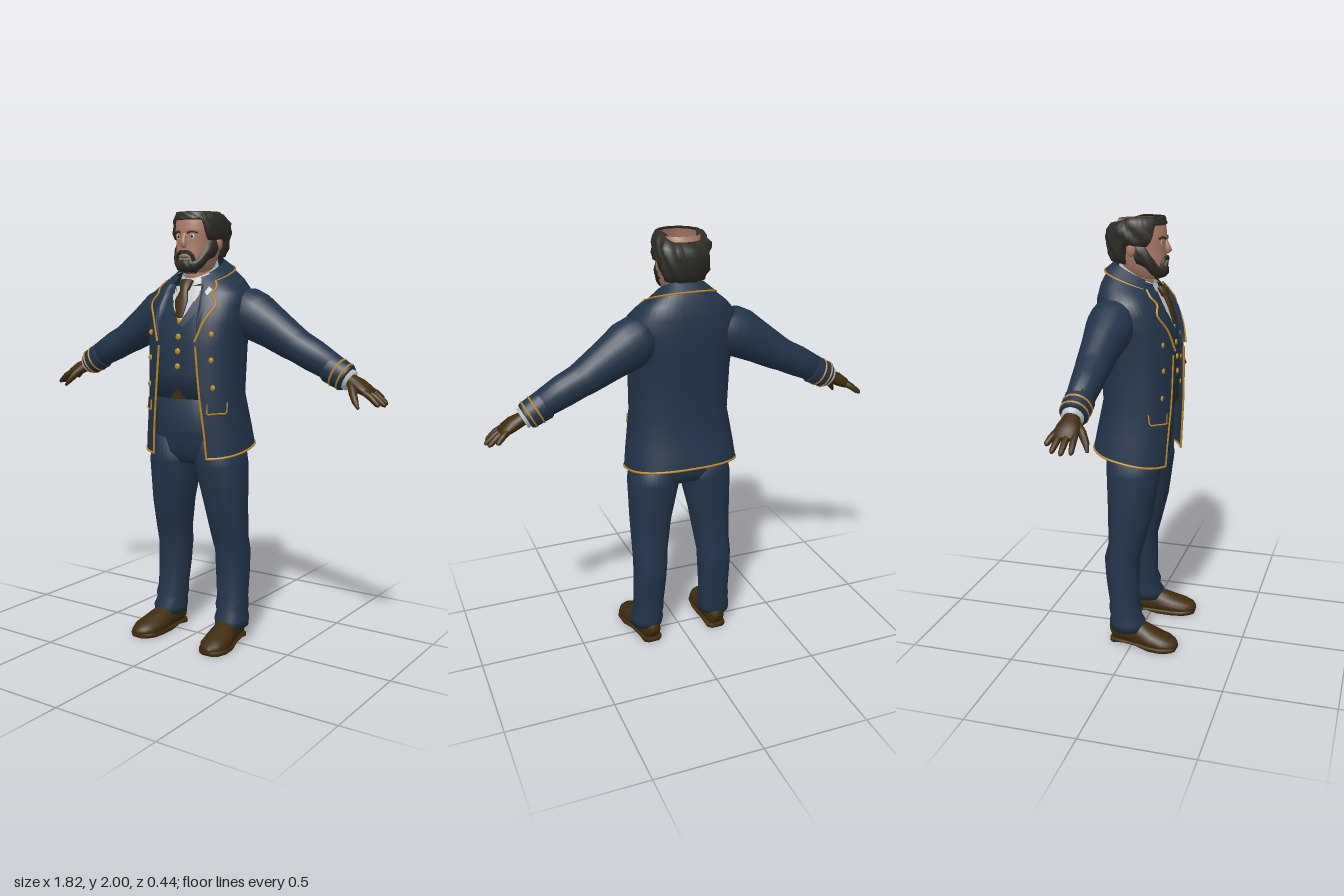
import * as THREE from 'three';
import { mergeGeometries } from 'three/addons/utils/BufferGeometryUtils.js';

const V = (x, y, z) => new THREE.Vector3(x, y, z);
const paint = (name, color) => Object.assign(new THREE.MeshStandardMaterial({ color, side: THREE.DoubleSide }), { name });
const { lerp, smoothstep } = THREE.MathUtils;

// Skin over a list of rings, each a list of points
function loft(rings, { closed = true, caps = false } = {}) {
  const n = rings[0].length, pos = [], idx = [];
  rings.forEach(r => r.forEach(p => pos.push(p.x, p.y, p.z)));
  for (let r = 0; r < rings.length - 1; r++) for (let i = 0; i < (closed ? n : n - 1); i++) {
    const j = (i + 1) % n, a = r * n + i, b = r * n + j, c = a + n, d = b + n;
    idx.push(a, b, c, b, d, c);
  }
  if (caps) [0, rings.length - 1].forEach(r => {
    const m = rings[r].reduce((s, p) => s.add(p), V(0, 0, 0)).divideScalar(n), k = pos.length / 3;
    pos.push(m.x, m.y, m.z);
    for (let i = 0; i < n; i++) {
      const a = r * n + i, b = r * n + (i + 1) % n;
      idx.push(...(r ? [a, b, k] : [b, a, k]));
    }
  });
  const g = new THREE.BufferGeometry();
  g.setAttribute('position', new THREE.Float32BufferAttribute(pos, 3));
  g.setIndex(idx);
  g.computeVertexNormals();
  return g;
}

// Point on a body section [y, halfWidth, zFront, zBack, rise to the back, centre x]
const pw = (v, p) => Math.sign(v) * Math.abs(v) ** p;
function sectionPoint([y, rx, zf, zb, tilt = 0, cx = 0], a, p = 0.8) {
  const z = (zf + zb) / 2 + (zf - zb) / 2 * pw(Math.cos(a), p);
  return V(cx + rx * pw(Math.sin(a), p), y + tilt * (zf - z) / (zf - zb), z);
}
// Section ring, left open by a half gap at the front
function section(row, gap = 0, p = 0.8, n = 40) {
  const a0 = gap ? Math.asin((gap / row[1]) ** (1 / p)) : 0;
  return Array.from({ length: gap ? n + 1 : n }, (_, i) => sectionPoint(row, a0 + (Math.PI * 2 - 2 * a0) * i / n, p));
}
const body = (rows, p, caps = true) => loft(rows.map(r => section(r, 0, p)), { caps });

// Limb along a path of [x, y, z, thickness radius, width radius]
function limb(path, ref = V(0, 0, 1), n = 20) {
  const c = path.map(p => V(p[0], p[1], p[2]));
  return loft(path.map((p, i) => {
    const t = c[Math.min(i + 1, c.length - 1)].clone().sub(c[Math.max(i - 1, 0)]).normalize();
    const s = ref.clone().addScaledVector(t, -ref.dot(t)).normalize(), u = t.clone().cross(s);
    return Array.from({ length: n }, (_, k) => {
      const a = k / n * Math.PI * 2;
      return c[i].clone().addScaledVector(s, Math.cos(a) * p[4]).addScaledVector(u, Math.sin(a) * p[3]);
    });
  }), { caps: true });
}

export function createModel() {
  const man = new THREE.Group();
  man.name = 'man';
  const navy = paint('navy cloth', 0x223449), gold = paint('gold trim', 0xc08a22), white = paint('white linen', 0xc4c6c8);
  const brown = paint('brown leather', 0x3f2c0d), skin = paint('skin', 0xa87a66), hairMat = paint('dark hair', 0x2e2c25);
  const lip = paint('lips', 0x8a6a62), dark = paint('iris', 0x1b1714);

  const add = (name, geo, mat) => {
    const m = new THREE.Mesh(geo, mat);
    m.name = name;
    man.add(m);
    return m;
  };
  const both = (name, geo, mat) => {
    const g = geo.clone().scale(-1, 1, 1), ix = g.index.array;
    for (let i = 0; i < ix.length; i += 3) [ix[i], ix[i + 1]] = [ix[i + 1], ix[i]];
    add(name + 'Left', geo, mat);
    add(name + 'Right', g, mat);
  };
  // Drop a point onto the front of given meshes
  const ray = new THREE.Raycaster();
  const drape = (targets, x, y, off = 0.006) => {
    ray.set(V(x, y, 1), V(0, 0, -1));
    const hit = ray.intersectObjects(targets)[0];
    return V(x, y, (hit ? hit.point.z : 0.05) + off);
  };
  // Thin cloth between two edges, rows of [xA, yA, xB, yB]
  const patch = (targets, rows, off, n = 6) => loft(rows.map(([xa, ya, xb, yb]) =>
    Array.from({ length: n + 1 }, (_, i) => drape(targets, lerp(xa, xb, i / n), lerp(ya, yb, i / n), off))), { closed: false });
  const cord = (pts, r = 0.005) => new THREE.TubeGeometry(new THREE.CatmullRomCurve3(pts, false, 'centripetal'), pts.length * 4, r, 6);
  const stud = (p, r, flat = 0.45) => new THREE.SphereGeometry(r, 14, 10).scale(1, 1, flat).translate(p.x, p.y, p.z);

  // Trousers
  add('trouserSeat', body([[0.85, 0.14, 0.08, -0.12], [0.9, 0.215, 0.112, -0.14], [1.0, 0.21, 0.13, -0.15], [1.2, 0.19, 0.14, -0.14]]), navy);
  both('trouserLeg', body([
    [0.075, 0.076, 0.05, -0.105, 0, 0.18], [0.11, 0.078, 0.055, -0.115, 0, 0.178], [0.14, 0.073, 0.035, -0.11, 0, 0.176],
    [0.17, 0.076, 0.04, -0.117, 0, 0.174], [0.21, 0.073, 0.024, -0.115, 0, 0.172], [0.33, 0.078, 0.024, -0.132, 0, 0.168],
    [0.43, 0.081, 0.026, -0.14, 0, 0.165], [0.5, 0.085, 0.045, -0.122, 0, 0.16], [0.65, 0.097, 0.083, -0.125, 0, 0.15],
    [0.85, 0.122, 0.113, -0.135, 0, 0.128], [0.97, 0.112, 0.115, -0.14, 0, 0.115]], 0.9), navy);

  // Shoes: rounded upper, flat sole with a raised arch
  const clampY = (g, lo, hi) => {
    const p = g.attributes.position;
    for (let i = 0; i < p.count; i++) p.setY(i, Math.min(hi, Math.max(lo(p.getZ(i)), p.getY(i))));
    g.computeVertexNormals();
    return g;
  };
  const last = [[0.17, 0.05, -0.112, 0.03, 0.022], [0.17, 0.055, -0.095, 0.055, 0.042], [0.175, 0.06, -0.03, 0.065, 0.05],
    [0.18, 0.05, 0.03, 0.066, 0.056], [0.19, 0.036, 0.1, 0.05, 0.068], [0.197, 0.028, 0.16, 0.04, 0.066],
    [0.201, 0.022, 0.2, 0.03, 0.046], [0.202, 0.018, 0.217, 0.018, 0.022]];
  both('shoe', clampY(limb(last, V(1, 0, 0)), () => 0.012, 1), brown);
  const sole = last.map(([x, , z, , w]) => [x, 0.01, z, 0.06, w + 0.006]);
  both('sole', clampY(limb(sole, V(1, 0, 0)), z => (z > -0.035 && z < 0.035 ? 0.012 : 0), 0.02), brown);

  // Waistcoat
  const vest = add('waistcoat', body([[1.16, 0.2, 0.155, -0.15], [1.28, 0.205, 0.158, -0.15], [1.4, 0.21, 0.155, -0.16],
    [1.5, 0.21, 0.142, -0.17], [1.58, 0.2, 0.118, -0.17], [1.63, 0.17, 0.092, -0.165], [1.66, 0.12, 0.075, -0.14], [1.68, 0.085, 0.06, -0.115]]), navy);
  add('beltGap', patch([vest], [[-0.042, 1.162, 0.042, 1.162], [-0.022, 1.185, 0.022, 1.185], [0, 1.21, 0, 1.21]], 0.004), brown);
  [1.508, 1.44, 1.375, 1.307].forEach(y => add('waistcoatButton', stud(drape([vest], 0, y, 0.003), 0.014), gold));
  both('waistcoatFacing', patch([vest], [[0.004, 1.5, 0.02, 1.48], [0.045, 1.57, 0.08, 1.55], [0.075, 1.66, 0.1, 1.64]], 0.009), navy);

  // Shirt front, collar and tie
  add('shirtFront', patch([vest], [[-0.003, 1.5, 0.003, 1.5], [-0.045, 1.57, 0.045, 1.57], [-0.07, 1.62, 0.07, 1.62], [-0.075, 1.665, 0.075, 1.665]], 0.005), white);
  add('shirtCollar', body([[1.645, 0.09, 0.076, -0.115, 0.09], [1.675, 0.083, 0.07, -0.112, 0.1], [1.7, 0.076, 0.06, -0.108, 0.1]], 0.95, false), white);
  add('tie', limb([[0, 1.525, 0.145, 0.006, 0.018], [0, 1.6, 0.128, 0.01, 0.036], [0, 1.645, 0.106, 0.012, 0.02],
    [0, 1.655, 0.1, 0.018, 0.026], [0, 1.69, 0.08, 0.016, 0.034]], V(1, 0, 0)), brown);

  // Coat: sections with the front gap as second value
  const coatRows = [
    [[0.89, 0.262, 0.165, -0.215, 0.07], 0.148], [[1.0, 0.25, 0.17, -0.2, 0.04], 0.14], [[1.18, 0.226, 0.177, -0.172], 0.12],
    [[1.4, 0.23, 0.174, -0.187], 0.1], [[1.5, 0.24, 0.16, -0.195], 0.1], [[1.58, 0.248, 0.135, -0.195], 0.1],
    [[1.63, 0.242, 0.108, -0.19, 0.02], 0.09], [[1.66, 0.2, 0.092, -0.178, 0.05], 0.08],
    [[1.685, 0.135, 0.078, -0.15, 0.085], 0.07], [[1.7, 0.102, 0.07, -0.125, 0.095], 0.06]];
  const rings = coatRows.map(([r, gap]) => section(r, gap));
  const coat = add('coat', loft(rings, { closed: false }), navy);
  add('hemPiping', cord(rings[0]), gold);
  both('frontPiping', cord(rings.slice(0, 4).map(r => r[0])), gold);

  // Turned-down collar at the back of the neck
  const collarLow = section([1.672, 0.15, 0.088, -0.168, 0.092], 0.1).slice(3, -3);
  const collarTop = section([1.708, 0.1, 0.07, -0.125, 0.095], 0.062).slice(3, -3);
  add('coatCollar', loft([collarLow, collarTop], { closed: false }), navy);
  add('collarPiping', cord(collarLow, 0.004), gold);

  // Lapels with a notch and piped edge
  const lapel = [[0.098, 1.42, 0.102, 1.42], [0.097, 1.5, 0.138, 1.515], [0.09, 1.565, 0.176, 1.59], [0.088, 1.61, 0.148, 1.63],
    [0.083, 1.64, 0.155, 1.66], [0.075, 1.67, 0.135, 1.69]];
  const front = [coat, vest];
  both('lapel', patch(front, lapel, 0.012), navy);
  both('lapelPiping', cord(lapel.map(l => drape(front, l[2], l[3], 0.013))), gold);
  add('pocketSquare', patch(front, [[0.115, 1.64, 0.13, 1.625], [0.125, 1.665, 0.145, 1.65]], 0.018, 2), white);

  // Coat buttons and pocket flaps
  [[0.165, 1.455], [0.167, 1.34], [0.174, 1.217]].forEach(([x, y]) => both('coatButton', stud(drape([coat], x, y, 0.003), 0.013), gold));
  both('pocketFlap', patch([coat], [[0.156, 1.098, 0.218, 1.104], [0.156, 1.145, 0.218, 1.15]], 0.006), navy);
  both('pocketPiping', cord([[0.156, 1.145], [0.156, 1.12], [0.157, 1.099], [0.175, 1.1], [0.2, 1.102], [0.218, 1.104], [0.218, 1.15]]
    .map(([x, y]) => drape([coat], x, y, 0.007)), 0.0035), gold);

  // Sleeves and cuffs
  both('sleeve', limb([[0.17, 1.58, -0.08, 0.08, 0.085], [0.21, 1.56, -0.08, 0.108, 0.1], [0.265, 1.53, -0.08, 0.112, 0.103],
    [0.36, 1.475, -0.085, 0.094, 0.085], [0.46, 1.415, -0.086, 0.079, 0.076], [0.49, 1.4, -0.086, 0.074, 0.072],
    [0.56, 1.365, -0.084, 0.072, 0.066], [0.66, 1.313, -0.083, 0.061, 0.056]]), navy);
  const cuffAt = (x, r) => [x, 1.312 - (x - 0.65) * 0.52, -0.083, r, r * 0.95];
  both('cuff', limb([cuffAt(0.635, 0.062), cuffAt(0.645, 0.067), cuffAt(0.72, 0.062), cuffAt(0.728, 0.056)]), navy);
  [[0.675, 0.068], [0.708, 0.0655]].forEach(([x, r]) => both('cuffBand', limb([cuffAt(x, r - 0.006), cuffAt(x + 0.001, r), cuffAt(x + 0.007, r), cuffAt(x + 0.008, r - 0.006)]), gold));
  both('shirtCuff', limb([cuffAt(0.7, 0.05), cuffAt(0.742, 0.048)]), white);

  // Gloves: palm, four fingers and a thumb
  const fingers = [[-0.122, -0.145, 0.868, 1.188], [-0.098, -0.112, 0.9, 1.17], [-0.07, -0.073, 0.908, 1.166], [-0.043, -0.036, 0.895, 1.168]];
  both('glove', mergeGeometries([
    limb([[0.715, 1.28, -0.083, 0.034, 0.038], [0.75, 1.262, -0.083, 0.03, 0.036], [0.785, 1.246, -0.081, 0.031, 0.048],
      [0.82, 1.226, -0.081, 0.025, 0.053], [0.842, 1.212, -0.081, 0.014, 0.047]]),
    ...fingers.map(([z0, z1, x, y]) => limb([[0.815, 1.228, z0, 0.014, 0.014], [lerp(0.815, x, 0.5), lerp(1.228, y, 0.4), lerp(z0, z1, 0.5), 0.0145, 0.014],
      [lerp(0.815, x, 0.9), lerp(1.228, y, 0.88), z1, 0.011, 0.011], [x, y, z1, 0.005, 0.005]], undefined, 10)),
    limb([[0.755, 1.252, -0.06, 0.02, 0.018], [0.778, 1.22, -0.028, 0.019, 0.018], [0.8, 1.185, -0.006, 0.014, 0.014], [0.82, 1.158, 0.006, 0.006, 0.006]], undefined, 10)]), brown);

  // Head: shell open at the crown
  const headRows = [[1.725, 0.045, 0.08, -0.06], [1.738, 0.064, 0.097, -0.08], [1.78, 0.08, 0.104, -0.1], [1.82, 0.088, 0.104, -0.118], [1.87, 0.092, 0.099, -0.13],
    [1.9, 0.095, 0.106, -0.132], [1.95, 0.096, 0.1, -0.128], [1.985, 0.088, 0.088, -0.11]];
  const headPoint = (a, y, off) => {
    let i = headRows.findIndex(r => r[0] >= y);
    i = i < 0 ? headRows.length - 1 : Math.max(1, i);
    const lo = headRows[i - 1], hi = headRows[i], k = Math.min(1, Math.max(0, (y - lo[0]) / (hi[0] - lo[0])));
    const [, rx, zf, zb] = lo.map((v, j) => lerp(v, hi[j], k));
    return sectionPoint([y, rx + off, zf + off, zb - off], a, 0.9);
  };
  const head = add('head', body(headRows, 0.9, false), skin);
  add('neck', body([[1.66, 0.062, 0.045, -0.095], [1.74, 0.062, 0.045, -0.095], [1.8, 0.066, 0.04, -0.1]], 1, false), skin);
  both('ear', new THREE.SphereGeometry(0.03, 14, 10).scale(0.4, 1.1, 0.7).translate(0.1, 1.858, -0.03), skin);
  add('nose', limb([[0, 1.9, 0.1, 0.006, 0.008], [0, 1.868, 0.11, 0.012, 0.011], [0, 1.85, 0.116, 0.014, 0.018], [0, 1.838, 0.106, 0.008, 0.012]], V(1, 0, 0), 12), skin);
  both('eyeWhite', stud(drape([head], 0.037, 1.884, -0.001), 0.012, 0.25).scale(1, 1, 1), white);
  both('iris', stud(drape([head], 0.037, 1.884, 0.001), 0.006, 0.3), dark);
  both('eyebrow', cord([[0.016, 1.9], [0.038, 1.907], [0.062, 1.9]].map(([x, y]) => drape([head], x, y, 0.001)), 0.005), hairMat);
  add('mouth', cord([-0.024, -0.01, 0.01, 0.024].map(x => drape([head], x, 1.797, 0.003)), 0.007), lip);
  both('moustache', cord([[0, 1.818], [0.022, 1.815], [0.038, 1.8], [0.044, 1.775]].map(([x, y]) => drape([head], x, y, 0.003)), 0.009), hairMat);

  // Beard running up into sideburns
  const grid = (n, m, f) => Array.from({ length: m }, (_, r) => Array.from({ length: n }, (_, i) => f(i / (n - 1), r)));
  add('beard', loft(grid(41, 6, (u, r) => {
    const a = lerp(-1.62, 1.62, u), d = Math.abs(a);
    const lo = 1.722 + 0.06 * smoothstep(d, 0.9, 1.6), hi = 1.784 + 0.1 * smoothstep(d, 0.6, 1.4);
    return headPoint(a, lerp(lo, hi, r / 5), [-0.01, 0.01, 0.014, 0.013, 0.01, -0.003][r] + 0.002 * Math.sin(a * 17 + r * 2));
  }), { closed: false }), hairMat);

  // Wavy ring of hair, thicker towards the back
  add('hair', loft(grid(73, 8, (u, r) => {
    const a = u * Math.PI * 2, d = Math.min(a, Math.PI * 2 - a);
    const lo = 1.958 - 0.09 * smoothstep(d, 0.75, 1.15) - 0.08 * smoothstep(d, 1.8, 2.2);
    const hi = 1.995 - 0.03 * smoothstep(d, 1.6, 2.6), th = 0.008 + 0.024 * smoothstep(d, 0.5, 2.4);
    const wave = 0.2 * Math.sin(a * 13 + r * 2.1) + 0.12 * Math.sin(a * 22 - r * 3);
    const off = th * [0, 0.9, 1.1, 1, 1.1, 1, 0.6, -0.6][r] * (r % 7 ? 1 + wave : 1);
    return headPoint(a, lerp(lo, hi, Math.min(1, [0, 0.05, 0.25, 0.45, 0.65, 0.85, 1, 1][r])), off);
  }), { closed: false }), hairMat);

  return man;
}
